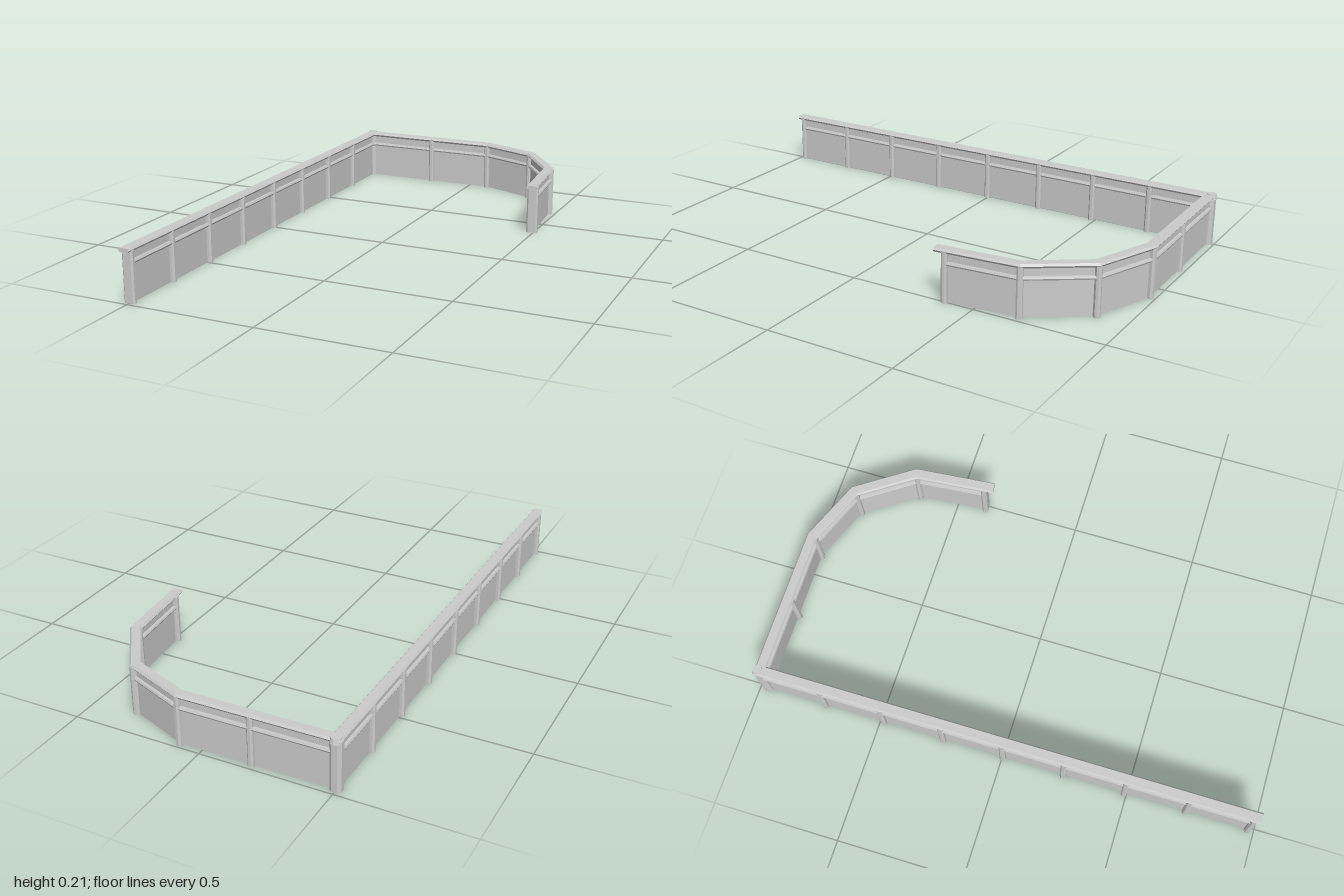
import * as THREE from 'three';

const material = new THREE.MeshStandardMaterial({ color: 0xcccccc, flatShading: true });

// Plan of the railing as [x, z]
const path = [[-0.5, 1], [-0.5, -0.966], [0.085, -0.971], [0.32, -0.878], [0.467, -0.663], [0.495, -0.345]];

// Unit direction from a to b
function direction(a, b) {
  const l = Math.hypot(b[0] - a[0], b[1] - a[1]);
  return [(b[0] - a[0]) / l, (b[1] - a[1]) / l];
}

// Same plan with both ends drawn in
function insetPath(start, end) {
  const p = path.map((q) => [...q]);
  const n = p.length - 1;
  const a = direction(p[0], p[1]), b = direction(p[n], p[n - 1]);
  p[0] = [p[0][0] + a[0] * start, p[0][1] + a[1] * start];
  p[n] = [p[n][0] + b[0] * end, p[n][1] + b[1] * end];
  return p;
}

// Sweep a closed section of [side, height] points along a plan with mitred corners
function sweep(section, plan) {
  const pos = [], idx = [], m = section.length, last = plan.length - 1;
  plan.forEach((p, k) => {
    const d0 = direction(plan[Math.max(k - 1, 0)], plan[Math.max(k, 1)]);
    const d1 = direction(plan[Math.min(k, last - 1)], plan[Math.min(k + 1, last)]);
    const f = 1 + d0[0] * d1[0] + d0[1] * d1[1];
    const sx = (d0[1] + d1[1]) / f, sz = -(d0[0] + d1[0]) / f;
    for (const [s, y] of section) pos.push(p[0] + sx * s, y, p[1] + sz * s);
  });
  for (let k = 0; k < last; k++) {
    for (let i = 0; i < m; i++) {
      const a = k * m, b = a + m, j = (i + 1) % m;
      idx.push(a + i, a + j, b + j, a + i, b + j, b + i);
    }
  }
  for (let i = 1; i < m - 1; i++) {
    idx.push(0, i + 1, i, last * m, last * m + i, last * m + i + 1);
  }
  const g = new THREE.BufferGeometry();
  g.setAttribute('position', new THREE.Float32BufferAttribute(pos, 3));
  g.setIndex(idx);
  const flat = g.toNonIndexed();
  flat.computeVertexNormals();
  return flat;
}

const rect = (w, y0, y1) => [[-w / 2, y0], [w / 2, y0], [w / 2, y1], [-w / 2, y1]];

// Bevelled post, "across" the wall by "along" the wall
function postGeometry(across, along, height) {
  const a = across / 2, b = along / 2, c = Math.min(a, b) * 0.55;
  const shape = new THREE.Shape([
    [a, -b + c], [a, b - c], [a - c, b], [-a + c, b],
    [-a, b - c], [-a, -b + c], [-a + c, -b], [a - c, -b],
  ].map(([x, y]) => new THREE.Vector2(x, y)));
  const g = new THREE.ExtrudeGeometry(shape, { depth: height, bevelEnabled: false });
  return g.rotateX(-Math.PI / 2);
}

export function createModel() {
  const group = new THREE.Group();
  const add = (name, geometry) => {
    const mesh = new THREE.Mesh(geometry, material);
    mesh.name = name;
    group.add(mesh);
    return mesh;
  };

  // Continuous wall panel, mid rail and bevelled handrail
  add('wallPanel', sweep(rect(0.012, 0, 0.192), insetPath(0.025, 0.04)));
  add('midRail', sweep([
    [-0.016, 0.142], [0.016, 0.142], [0.019, 0.148], [0.016, 0.155], [-0.016, 0.155], [-0.019, 0.148],
  ], insetPath(0.025, 0.04)));
  add('handrail', sweep([
    [-0.016, 0.187], [0.016, 0.187], [0.022, 0.195], [0.016, 0.203], [-0.016, 0.203], [-0.022, 0.195],
  ], path));

  // Posts as [x, z, angle]
  const posts = [];
  for (let i = 0; i < 8; i++) posts.push([-0.5, 0.975 - i * 0.243, 0]);
  posts.push([-0.19, -0.968, Math.PI / 2]);
  for (let i = 2; i < 5; i++) {
    const a = direction(path[i - 1], path[i]), b = direction(path[i], path[i + 1]);
    posts.push([...path[i], Math.atan2(a[0] + b[0], a[1] + b[1])]);
  }
  const end = direction(path[4], path[5]);
  posts.push([0.495 - end[0] * 0.04, -0.345 - end[1] * 0.04, Math.atan2(end[0], end[1])]);

  const geometry = postGeometry(0.044, 0.023, 0.192);
  for (const [x, z, angle] of posts) {
    const post = add('post', geometry);
    post.position.set(x, 0, z);
    post.rotation.y = angle;
  }

  // Corner post with its knob
  add('cornerPost', postGeometry(0.044, 0.04, 0.192)).position.set(-0.5, 0, -0.97);
  const knob = add('cornerKnob', new THREE.CylinderGeometry(0.018, 0.023, 0.02, 10));
  knob.position.set(-0.5, 0.196, -0.975);

  return group;
}
